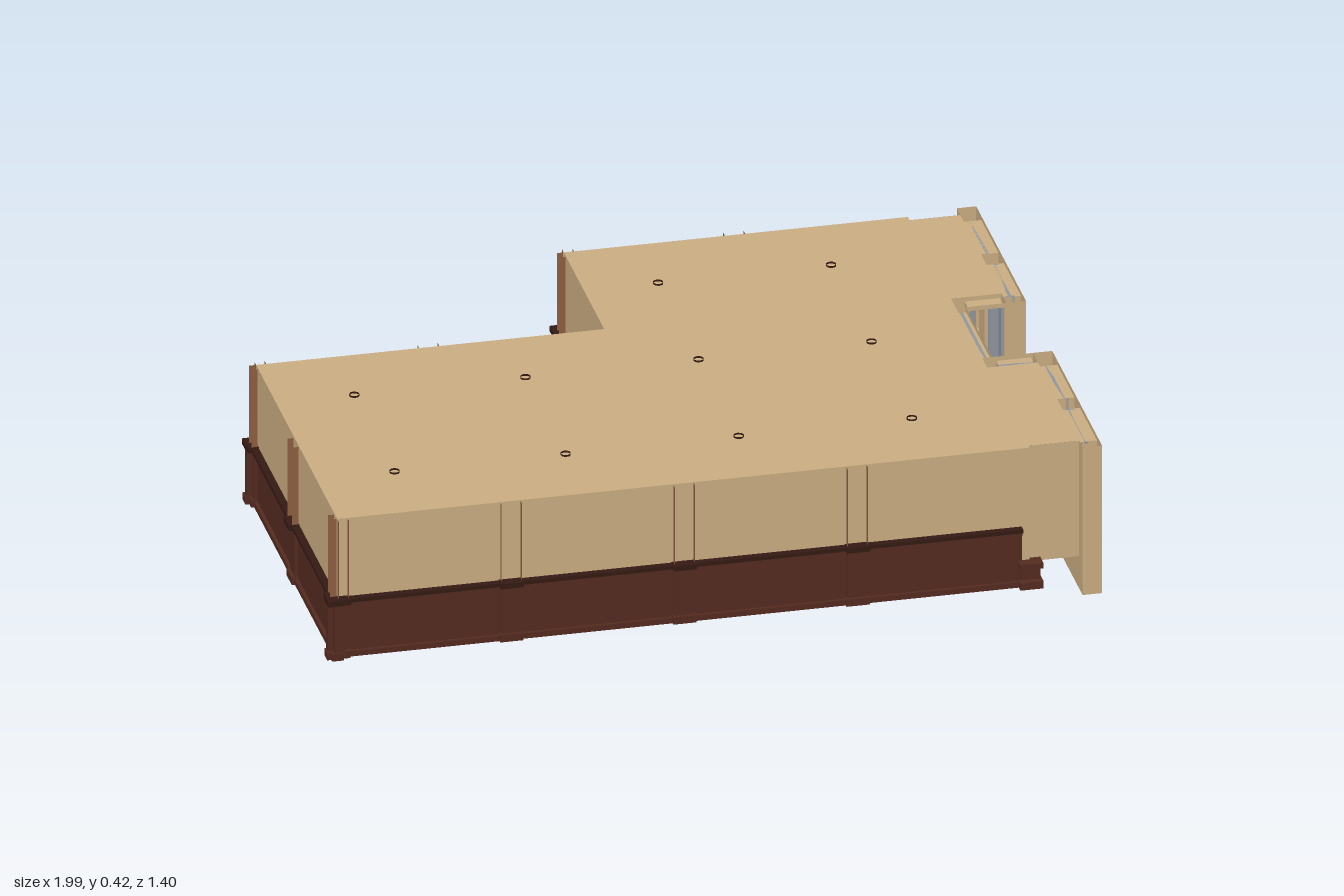
import * as THREE from 'three';

const mat = (name, color) =>
  new THREE.MeshStandardMaterial({ name, color, side: THREE.DoubleSide });

export function createModel() {
  const tan = mat('tan plaster', 0xcbae82);
  const dark = mat('dark wood', 0x542b20);
  const brown = mat('pilaster brown', 0x8f5f42);
  const black = mat('rail shadow brown', 0x351a13);
  const gray = mat('window metal', 0x9097a0);
  const pale = mat('pale stone', 0xc1bfc1);
  const model = new THREE.Group();

  const add = (parent, name, geo, material) => {
    const m = new THREE.Mesh(geo, material);
    m.name = name;
    parent.add(m);
    return m;
  };
  // box given by its minimum and maximum corners
  const box = (parent, name, material, x0, x1, y0, y1, z0, z1) => {
    const m = add(parent, name, new THREE.BoxGeometry(x1 - x0, y1 - y0, z1 - z0), material);
    m.position.set((x0 + x1) / 2, (y0 + y1) / 2, (z0 + z1) / 2);
    return m;
  };
  // upright panel in the local xy plane
  const panel = (parent, name, material, x0, x1, y0, y1, z) => {
    const m = add(parent, name, new THREE.PlaneGeometry(x1 - x0, y1 - y0), material);
    m.position.set((x0 + x1) / 2, (y0 + y1) / 2, z);
    return m;
  };
  const rect = (Type, [x0, x1, y0, y1]) =>
    new Type([[x0, y0], [x1, y0], [x1, y1], [x0, y1]].map(p => new THREE.Vector2(...p)));
  // wall with openings, left without caps at its top and foot
  const openWall = (outer, holes, depth) => {
    const shape = rect(THREE.Shape, outer);
    shape.holes = holes.map(h => rect(THREE.Path, h));
    let g = new THREE.ExtrudeGeometry(shape, { depth, bevelEnabled: false });
    if (g.index) g = g.toNonIndexed();
    const p = g.attributes.position, kept = [];
    for (let i = 0; i < p.count; i += 3) {
      const cap = y => [0, 1, 2].every(k => Math.abs(p.getY(i + k) - y) < 1e-5);
      if (cap(outer[2]) || cap(outer[3])) continue;
      for (let k = 0; k < 3; k++) kept.push(p.getX(i + k), p.getY(i + k), p.getZ(i + k));
    }
    const out = new THREE.BufferGeometry();
    out.setAttribute('position', new THREE.Float32BufferAttribute(kept, 3));
    out.computeVertexNormals();
    return out;
  };
  // slim metal lining around an opening
  const frame = (parent, [x0, x1, y0, y1], z, w, d) => {
    box(parent, 'frameSide', gray, x0, x0 + w, y0, y1, z - d, z + d);
    box(parent, 'frameSide', gray, x1 - w, x1, y0, y1, z - d, z + d);
    box(parent, 'frameHead', gray, x0, x1, y1 - w, y1, z - 0.004, z + 0.004);
    box(parent, 'frameSill', gray, x0, x1, y0, y0 + w, z - 0.004, z + 0.004);
  };

  // L-shaped floor and roof
  const plan = [[-0.97, 0.665], [0.81, 0.665], [0.81, -0.675], [-0.075, -0.675], [-0.075, -0.23], [-0.97, -0.23]];
  const slab = new THREE.ShapeGeometry(new THREE.Shape(plan.map(([x, z]) => new THREE.Vector2(x, -z))));
  slab.rotateX(-Math.PI / 2);
  add(model, 'floor', slab, tan).position.y = 0.03;
  add(model, 'roof', slab, tan).position.y = 0.412;

  // one outer wall: local x runs along it, local z points out
  // posts: [position, kind], kind -1 / 1 = corner at start / end, 2 = low end post
  function wall(name, x, z, turn, length, posts, trimFrom = 0, trimTo = length) {
    const g = new THREE.Group();
    g.name = name;
    g.position.set(x, 0, z);
    g.rotation.y = turn;
    model.add(g);
    panel(g, 'upperWall', tan, 0, length, 0.1, 0.412, 0);
    panel(g, 'wainscot', dark, trimFrom, trimTo, 0.03, 0.185, 0.003);
    panel(g, 'innerWainscot', dark, trimFrom, trimTo, 0.03, 0.185, -0.003);
    box(g, 'plinth', dark, trimFrom, trimTo, 0.03, 0.045, -0.008, 0.012);
    box(g, 'lowerRail', dark, trimFrom, trimTo, 0.172, 0.184, -0.005, 0.01);
    box(g, 'chairRail', black, trimFrom, trimTo, 0.184, 0.194, -0.01, 0.019);
    for (const [t, kind] of posts) {
      const top = Math.abs(kind) === 2 ? 0.1 : 0.18;
      box(g, 'postFoot', dark, t - 0.03, t + 0.03, 0.03, 0.05, -0.01, top < 0.15 ? 0.03 : 0.02);
      box(g, 'postBase', dark, t - 0.026, t + 0.026, 0.03, top, -0.01, 0.012);
      if (top < 0.15) {
        box(g, 'postCap', dark, t - 0.03, t + 0.03, 0.085, 0.1, -0.01, 0.028);
        continue;
      }
      box(g, 'postCap', black, t - 0.03, t + 0.03, 0.182, 0.196, -0.012, 0.028);
      const a = kind === -1 ? t : t - 0.026, b = kind === 1 ? t : t + 0.026;
      for (const s of [a, b]) {
        const side = panel(g, 'pilasterSide', brown, -0.008, 0.008, 0.194, 0.412, 0);
        side.rotation.y = Math.PI / 2;
        side.position.set(s, 0.303, 0.01);
      }
      panel(g, 'pilasterFace', brown, a, b, 0.194, 0.405, -0.012);
    }
  }
  const H = Math.PI / 2;
  wall('frontWall', -0.97, 0.665, 0, 1.78, [[0, -1], [0.445, 0], [0.89, 0], [1.335, 0], [1.78, 2]], 0, 1.76);
  wall('backWall', 0.81, -0.675, Math.PI, 0.885, [[0, 2], [0.445, 0], [0.885, 1]], 0.02);
  wall('notchSideWall', -0.075, -0.675, -H, 0.445, [[0, -1]]);
  wall('notchBackWall', -0.075, -0.23, Math.PI, 0.895, [[0.45, 0], [0.895, 1]]);
  wall('leftWall', -0.97, -0.23, -H, 0.895, [[0, -1], [0.45, 0], [0.895, 1]]);

  // shopfront wings, mirrored about the doorway
  for (const s of [1, -1]) {
    const wing = new THREE.Group();
    wing.name = s > 0 ? 'frontWing' : 'backWing';
    model.add(wing);

    const face = new THREE.Group();
    face.name = 'shopfront';
    face.rotation.y = H;
    face.position.x = 0.94;
    wing.add(face);
    const span = (a, b, y0, y1) => (s > 0 ? [-b, -a, y0, y1] : [a, b, y0, y1]);
    const windows = [span(0.2, 0.39, 0.1, 0.4), span(0.45, 0.64, 0.1, 0.4)];
    add(face, 'facade', openWall(span(0.145, 0.695, 0, 0.412), windows, 0.05), tan);
    windows.forEach(w => frame(face, w, 0.022, 0.006, 0.013));

    // entry return with a side window
    const ret = new THREE.Group();
    ret.name = 'entryReturn';
    ret.position.z = s > 0 ? 0.145 : -0.2;
    wing.add(ret);
    const sideWindow = [0.845, 0.935, 0.1, 0.4];
    add(ret, 'returnWall', openWall([0.81, 0.94, 0, 0.412], [sideWindow], 0.055), tan);
    frame(ret, sideWindow, 0.0275, 0.006, 0.012);

    // display bay
    const z0 = s > 0 ? 0.2 : -0.655, z1 = s > 0 ? 0.655 : -0.2;
    panel(wing, 'bayEndWall', tan, 0.79, 0.94, 0.09, 0.412, s * 0.656);
    const ceiling = panel(wing, 'bayCeiling', tan, 0.81, 0.94, -0.2275, 0.2275, 0);
    ceiling.rotation.x = -H;
    ceiling.position.set(0.875, 0.412, s * 0.4275);
    box(wing, 'bayFloor', dark, 0.81, 0.94, 0.09, 0.098, z0, z1);
    box(wing, 'bayBase', dark, 0.805, 0.815, 0.03, 0.09, z0, z1);
    box(wing, 'bayPlinth', dark, 0.815, 0.83, 0.03, 0.045, z0, z1);
  }

  // doorway with transom
  const entry = new THREE.Group();
  entry.name = 'doorway';
  entry.rotation.y = H;
  entry.position.x = 0.81;
  model.add(entry);
  const door = [-0.14, 0.14, 0.02, 0.312], transom = [-0.14, 0.14, 0.322, 0.4];
  add(entry, 'doorWall', openWall([-0.145, 0.145, 0, 0.412], [door, transom], 0.025), tan);
  frame(entry, door, 0.0125, 0.012, 0.013);
  frame(entry, transom, 0.0125, 0.005, 0.008);
  box(model, 'entryFloor', pale, 0.812, 0.97, 0.002, 0.02, -0.175, 0.175);

  // ceiling light rims showing above the roof
  const rim = new THREE.CylinderGeometry(0.013, 0.013, 0.006, 12, 1, true);
  for (const z of [0.44, -0.005, -0.45])
    for (const x of [-0.77, -0.33, 0.115, 0.56])
      if (z > -0.2 || x > 0) add(model, 'lightRim', rim, black).position.set(x, 0.414, z);

  return model;
}
